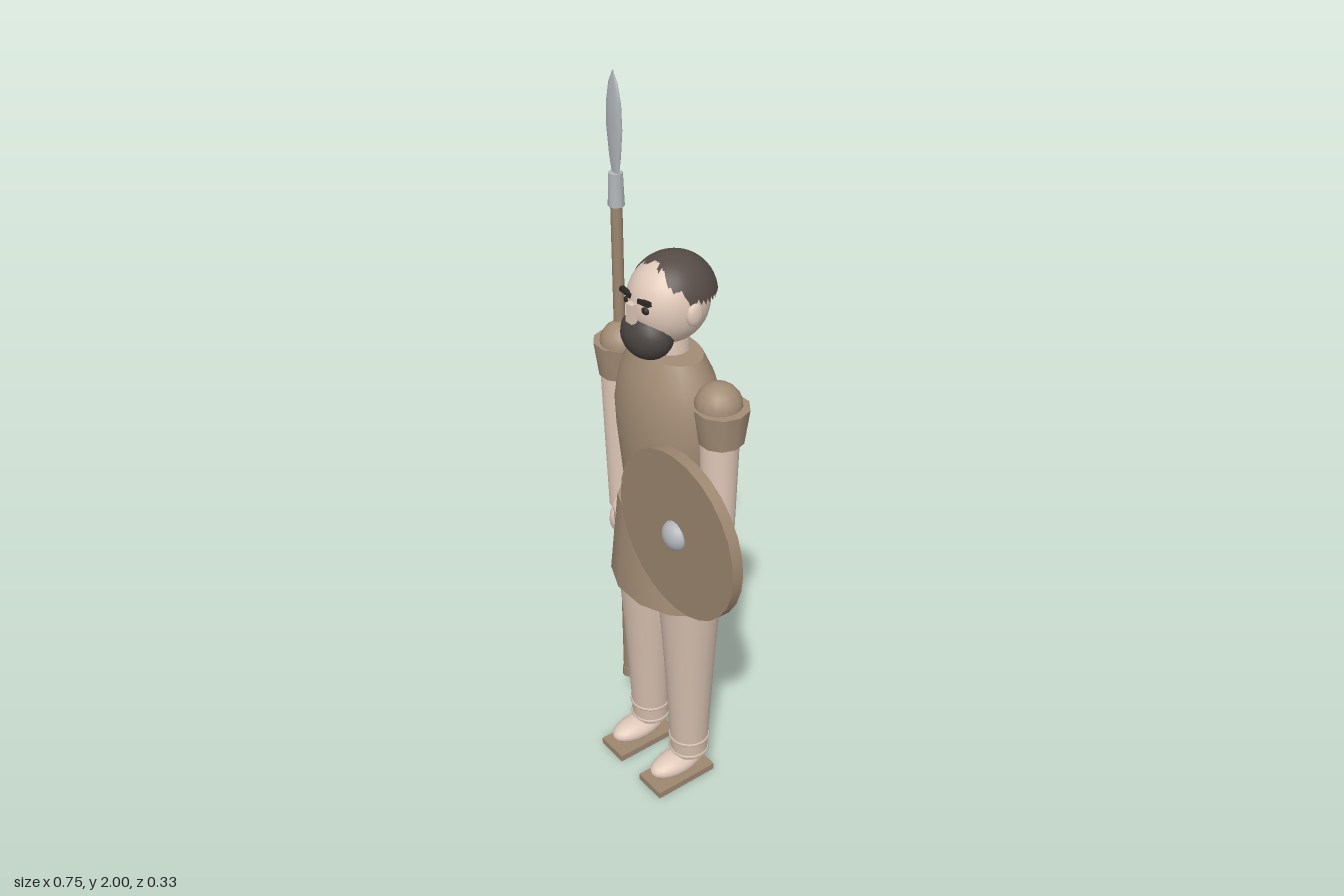
import * as THREE from 'three';
import { toCreasedNormals } from 'three/addons/utils/BufferGeometryUtils.js';

const mat = (name, color, side = THREE.FrontSide) => {
  const m = new THREE.MeshStandardMaterial({ color, side });
  m.name = name;
  return m;
};

export function createModel() {
  const cloth = mat('brown cloth', 0xa28c75);
  const wood = mat('wood', 0x9c866f);
  const skin = mat('skin', 0xdfc8b8);
  const trousers = mat('trousers', 0xd2bcac);
  const hair = mat('hair', 0x564c47, THREE.DoubleSide);
  const beardMat = mat('beard', 0x4a4340);
  const dark = mat('eyes and brows', 0x2e2826);
  const steel = mat('steel', 0xb2b6ba);

  const model = new THREE.Group();
  model.name = 'spearman';
  const CX = -0.094, CZ = -0.028; // body axis

  function add(name, geo, material, x = 0, y = 0, z = 0, sx = 1, sy = 1, sz = 1) {
    const m = new THREE.Mesh(geo, material);
    m.name = name;
    m.position.set(x, y, z);
    m.scale.set(sx, sy, sz);
    model.add(m);
    return m;
  }
  // Turned solid from [radius, height] pairs, bottom to top, with closed ends
  function turned(profile, sides, start = 0) {
    const pts = [[0, profile[0][1]], ...profile, [0, profile[profile.length - 1][1]]]
      .map(([r, y]) => new THREE.Vector2(r, y));
    return toCreasedNormals(new THREE.LatheGeometry(pts, sides, start), 0.75);
  }
  const ball = (w = 20, h = 14) => new THREE.SphereGeometry(1, w, h);
  const box = (w, h, d) => new THREE.BoxGeometry(w, h, d);

  // Tunic: torso, belt and flared skirt
  add('torso', turned([[0.143, 0.9], [0.146, 0.95], [0.155, 1.03], [0.166, 1.12], [0.17, 1.2],
    [0.16, 1.26], [0.143, 1.31], [0.108, 1.365]], 24), cloth, CX, 0, CZ, 1, 1, 0.68);
  add('belt', turned([[0.157, 0.88], [0.157, 0.905], [0.151, 0.908], [0.151, 0.932]], 16),
    cloth, CX, 0, CZ, 1, 1, 0.68);
  add('skirt', turned([[0.191, 0.65], [0.163, 0.9]], 12, Math.PI / 12), cloth, CX, 0, CZ, 1, 1, 0.74);
  add('buckle', box(0.036, 0.022, 0.012), steel, CX, 0.919, CZ + 0.104);

  for (const s of [-1, 1]) {
    const side = s < 0 ? 'right' : 'left';
    // Leg, ankle bands and sandal
    const lx = CX + s * 0.0935;
    add(side + 'Leg', turned([[0.053, 0.08], [0.055, 0.14], [0.069, 0.4], [0.085, 0.65], [0.092, 0.84]], 20),
      trousers, lx, 0, CZ + 0.003);
    for (const [y, r] of [[0.092, 0.053], [0.14, 0.055]]) {
      const band = add(side + 'AnkleBand', new THREE.TorusGeometry(r, 0.005, 6, 20),
        trousers, lx, y, CZ + 0.003);
      band.rotation.x = Math.PI / 2;
    }
    add(side + 'Foot', ball(), skin, lx, 0.054, 0.022, 0.045, 0.034, 0.088);
    add(side + 'Sole', box(0.098, 0.02, 0.198), wood, lx, 0.01, 0.02);

    // Arm with shoulder and sleeve
    const ax = CX + s * 0.21;
    add(side + 'Shoulder', ball(16, 12), cloth, CX + s * 0.198, 1.293, -0.03, 0.06, 0.06, 0.06);
    add(side + 'Sleeve', turned([[0.058, 1.2], [0.071, 1.295]], 10, Math.PI / 10), cloth, ax, 0, -0.03);
    add(side + 'Arm', turned([[0.037, 0.785], [0.043, 0.98], [0.05, 1.22]], 16), skin, ax, 0, -0.025);
    add(side + 'Hand', ball(16, 12), skin, ax, 0.735, -0.022, 0.032, 0.052, 0.038);
    add(side + 'Thumb', ball(10, 8), skin, ax - s * 0.018, 0.74, 0.008, 0.013, 0.028, 0.014);
  }

  // Head
  add('neck', new THREE.CylinderGeometry(0.046, 0.05, 0.1, 16), skin, CX, 1.39, -0.036);
  add('head', ball(28, 20), skin, CX, 1.5, -0.03, 0.1, 0.11, 0.105);
  add('beard', ball(20, 14), beardMat, CX, 1.425, 0.035, 0.076, 0.064, 0.06);
  add('nose', box(0.024, 0.05, 0.03), skin, CX, 1.494, 0.074);
  for (const s of [-1, 1]) {
    const side = s < 0 ? 'right' : 'left';
    add(side + 'Ear', ball(12, 8), skin, CX + s * 0.1, 1.495, -0.032, 0.013, 0.031, 0.024);
    add(side + 'Eye', ball(10, 8), dark, CX + s * 0.036, 1.509, 0.065, 0.012, 0.01, 0.008);
    const brow = add(side + 'Brow', box(0.042, 0.011, 0.012), dark, CX + s * 0.036, 1.531, 0.068);
    brow.rotation.z = s * 0.12;
  }

  // Hair cap with a ragged hairline, high in front and low behind
  const cap = new THREE.SphereGeometry(1, 48, 12);
  const p = cap.attributes.position, uv = cap.attributes.uv;
  const D = Math.PI / 180;
  for (let i = 0; i < p.count; i++) {
    const phi = uv.getX(i) * Math.PI * 2;
    const az = Math.acos(THREE.MathUtils.clamp(Math.sin(phi), -1, 1)) / D;
    let edge = 26 + 62 * THREE.MathUtils.smoothstep(az, 10, 105);
    if (az < 85 && Math.floor(az / 15) % 2) edge += 9;
    const t = (1 - uv.getY(i)) * edge * D;
    p.setXYZ(i, -Math.cos(phi) * Math.sin(t), Math.cos(t), Math.sin(phi) * Math.sin(t));
  }
  cap.attributes.normal.copy(p);
  add('hair', cap, hair, CX, 1.507, -0.043, 0.104, 0.109, 0.113);

  // Round shield with a steel boss
  const shield = add('shield', new THREE.CylinderGeometry(0.226, 0.226, 0.03, 28), wood, 0.148, 1.005, 0.122);
  shield.rotation.x = Math.PI / 2;
  add('shieldBoss', ball(16, 12), steel, 0.148, 1.005, 0.135, 0.04, 0.04, 0.03);

  // Spear
  const SX = -0.305, SZ = -0.031;
  add('spearShaft', new THREE.CylinderGeometry(0.015, 0.015, 1.53, 12), wood, SX, 0.925, SZ);
  add('spearButt', new THREE.CylinderGeometry(0.018, 0.018, 0.03, 12), wood, SX, 0.165, SZ);
  add('spearSocket', turned([[0.021, 1.665], [0.018, 1.75]], 12), steel, SX, 0, SZ);
  add('spearBlade', turned([[0.013, 1.74], [0.023, 1.79], [0.031, 1.86], [0.029, 1.92], [0.018, 1.97],
    [0.002, 2]], 12), steel, SX, 0, SZ, 1, 1, 0.28);

  return model;
}
